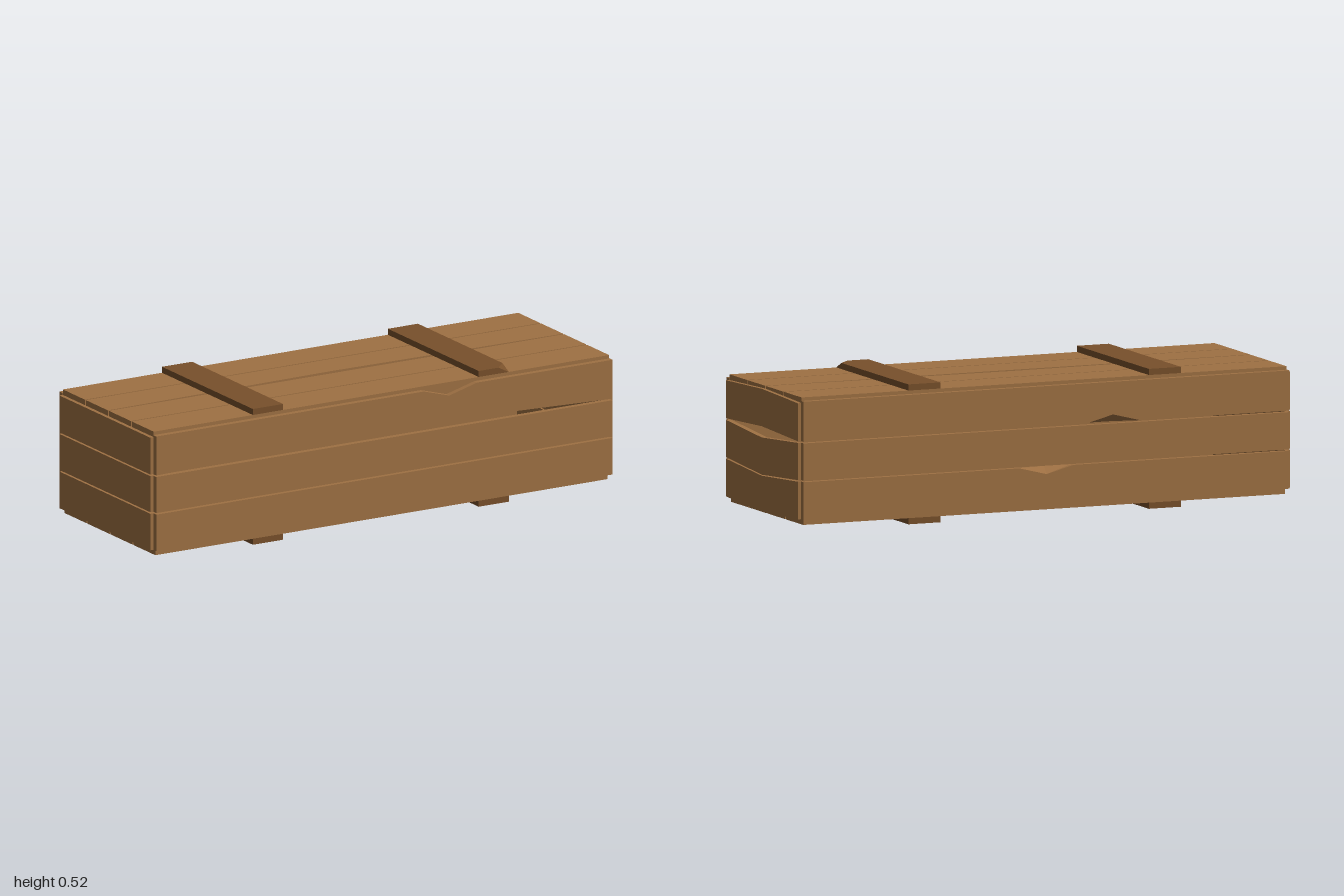
import * as THREE from 'three';

const wood = new THREE.MeshStandardMaterial({ color: 0x9f7143, flatShading: true });
wood.name = 'plankWood';
const darkWood = new THREE.MeshStandardMaterial({ color: 0x78502b, flatShading: true });
darkWood.name = 'battenWood';

const v = (x, y, z) => new THREE.Vector3(x, y, z);
// Each side's axes: along the board, across the board, outward
const SIDES = {
  front: [v(1, 0, 0), v(0, 1, 0), v(0, 0, 1)],
  back: [v(-1, 0, 0), v(0, 1, 0), v(0, 0, -1)],
  leftEnd: [v(0, 0, -1), v(0, 1, 0), v(1, 0, 0)],
  rightEnd: [v(0, 0, 1), v(0, 1, 0), v(-1, 0, 0)],
  top: [v(1, 0, 0), v(0, 0, -1), v(0, 1, 0)],
  bottom: [v(1, 0, 0), v(0, 0, 1), v(0, -1, 0)],
  topBatten: [v(0, 0, 1), v(1, 0, 0), v(0, 1, 0)],
  bottomBatten: [v(0, 0, 1), v(-1, 0, 0), v(0, -1, 0)],
};

// Board between -half and half, with optional inner stations [position, lowShift, highShift].
// chip = true shifts only the outer edges, giving a bevelled splinter.
function board(name, side, half, [low, high], [inner, outer], stations = [], chip = false, material = wood) {
  const rows = [[-half, 0, 0], ...stations, [half, 0, 0]].filter((r, i, a) => i === a.length - 1 ? a[i - 1][0] < half : true);
  const n = rows.length - 1;
  const geo = new THREE.BoxGeometry(n, 1, 1, n, 1, 1);
  const p = geo.attributes.position;
  for (let i = 0; i < p.count; i++) {
    const [u, lowShift, highShift] = rows[Math.round(p.getX(i) + n / 2)];
    const isOuter = p.getZ(i) > 0;
    const k = chip && !isOuter ? 0 : 1;
    p.setXYZ(i, u, p.getY(i) > 0 ? high + k * highShift : low + k * lowShift, isOuter ? outer : inner);
  }
  geo.applyMatrix4(new THREE.Matrix4().makeBasis(...SIDES[side]));
  geo.computeVertexNormals();
  const mesh = new THREE.Mesh(geo, material);
  mesh.name = name;
  return mesh;
}

// Triangular splinter missing from one edge
const notch = (at, lowShift, highShift) => [[at - 0.11, 0, 0], [at, lowShift, highShift], [at + 0.11, 0, 0]];

export function createModel() {
  const crate = new THREE.Group();
  crate.name = 'woodenCrate';
  const rows = [[0.045, 0.186], [0.192, 0.331], [0.337, 0.487]];
  const endRows = [[0.045, 0.186], [0.192, 0.331], [0.337, 0.479]];

  // Long side walls: a warped, chipped upper front plank and two splintered back planks
  const frontWear = [[], [], [[0.17, 0.023, 0], [0.28, 0.025, -0.032], [0.4, 0.021, 0]]];
  const backWear = [notch(0, 0, -0.028), [], notch(0.27, 0.028, 0)];
  rows.forEach((row, i) => {
    crate.add(board('frontPlank', 'front', 0.985, row, [0.326, 0.348], frontWear[i]));
    crate.add(board('backPlank', 'back', 0.985, row, [0.326, 0.348], backWear[i], true));
  });

  // End walls: planks on the left end are bowed, those on the right end straight
  const bow = [[[0, -0.014, -0.021]], [[0, -0.023, -0.023]], [[0, 0.013, 0.011]]];
  endRows.forEach((row, i) => {
    crate.add(board('leftEndPlank', 'leftEnd', 0.326, row, [0.977, 0.998], bow[i]));
    crate.add(board('rightEndPlank', 'rightEnd', 0.326, row, [0.977, 0.998]));
  });

  // Lid and floor: four planks each
  for (let i = 0; i < 4; i++) {
    const start = -0.326 + i * 0.1648;
    const row = [start, start + 0.1576];
    crate.add(board('lidPlank', 'top', 0.983, row, [0.479, 0.5], i === 2 ? [[0, 0.019, 0]] : []));
    crate.add(board('floorPlank', 'bottom', 0.976, row, [-0.045, -0.023]));
  }

  // Dark cross battens above and below, one with a chipped corner
  for (const x of [-0.49, 0.485]) {
    const span = [x - 0.065, x + 0.065];
    const wear = x > 0 ? [[0.28, 0, 0], [0.326, 0, -0.045]] : [];
    crate.add(board('lidBatten', 'topBatten', 0.326, span, [0.5, 0.523], wear, true, darkWood));
    crate.add(board('floorBatten', 'bottomBatten', 0.326, [-span[1], -span[0]], [-0.023, 0], [], false, darkWood));
  }
  return crate;
}
